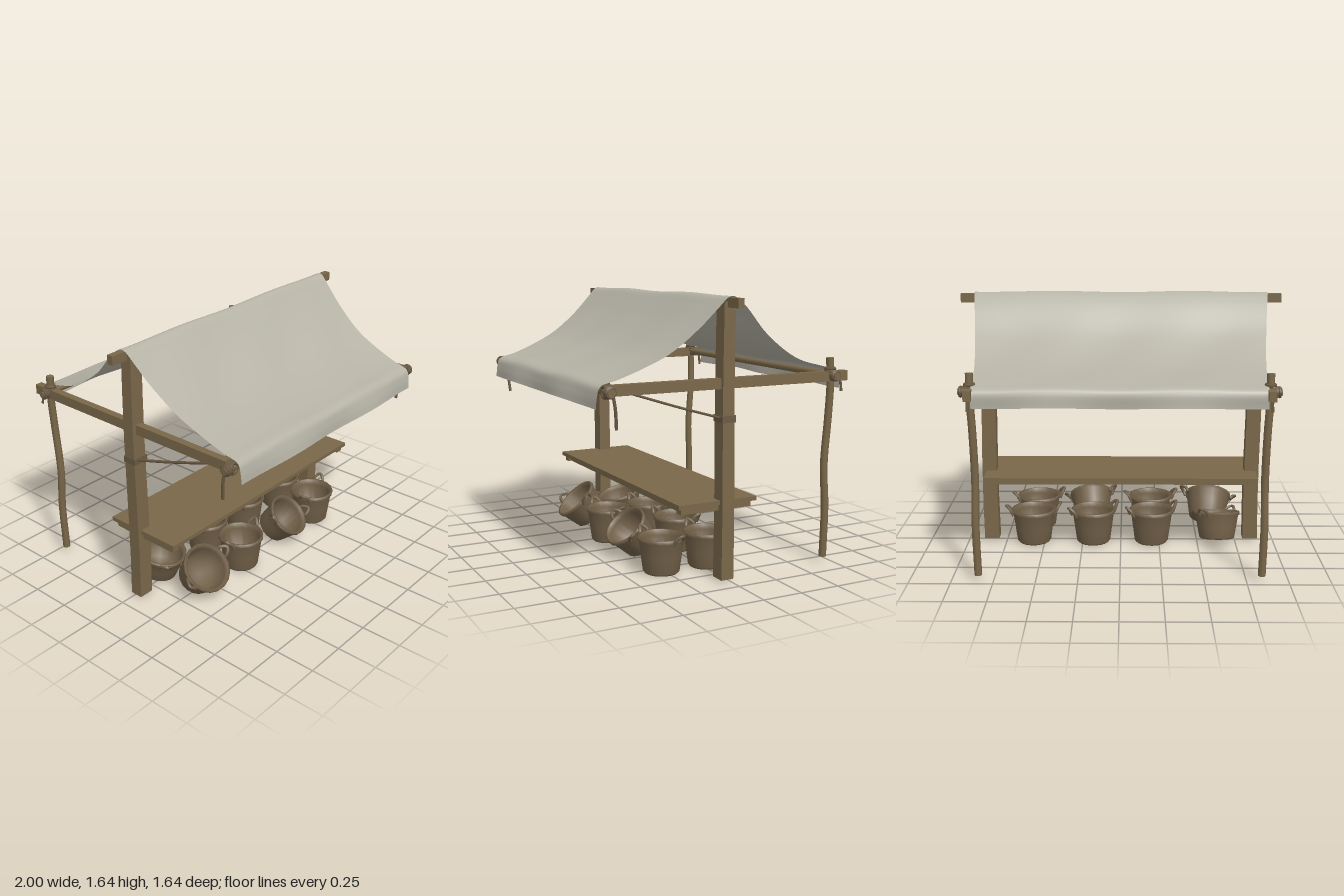
import * as THREE from 'three';

const mat = (name, color, side = THREE.FrontSide) => {
  const m = new THREE.MeshStandardMaterial({ color, side });
  m.name = name;
  return m;
};

export function createModel() {
  const wood = mat('wood', 0x796749);
  const wicker = mat('wicker', 0x716048);
  const rope = mat('rope', 0x6a5a43);
  const canvas = mat('canvas', 0xb5b2a5, THREE.DoubleSide);
  const stall = new THREE.Group();
  stall.name = 'marketStall';
  const v = (x, y, z) => new THREE.Vector3(x, y, z);

  const add = (parent, name, geo, material, x = 0, y = 0, z = 0) => {
    const m = new THREE.Mesh(geo, material);
    m.name = name;
    m.position.set(x, y, z);
    parent.add(m);
    return m;
  };
  const box = (name, w, h, d, x, y, z, parent = stall, material = wood) =>
    add(parent, name, new THREE.BoxGeometry(w, h, d), material, x, y, z);

  // Tube through points, with closed ends
  const rod = (parent, name, pts, r, material, sides = 8) => {
    const g = new THREE.Group();
    g.name = name;
    const curve = new THREE.CatmullRomCurve3(pts);
    add(g, name + 'Shaft', new THREE.TubeGeometry(curve, pts.length > 2 ? 20 : 1, r, sides), material);
    for (const t of [0, 1]) {
      const p = curve.getPoint(t);
      const cap = add(g, name + 'End', new THREE.CircleGeometry(r, sides), material, p.x, p.y, p.z);
      cap.quaternion.setFromUnitVectors(v(0, 0, 1), curve.getTangent(t).multiplyScalar(t ? 1 : -1));
    }
    parent.add(g);
    return g;
  };

  // Box with a narrower top and a slight bow, for hewn posts
  const hewn = (w, h, d, k) => {
    const g = new THREE.BoxGeometry(w, h, d, 1, 6, 1);
    const p = g.attributes.position;
    for (let i = 0; i < p.count; i++) {
      const t = p.getY(i) / h + 0.5;
      const s = 1 + (k - 1) * t;
      p.setXYZ(i, p.getX(i) * s + 0.004 * Math.sin(t * 7), p.getY(i), p.getZ(i) * s);
    }
    g.computeVertexNormals();
    return g;
  };

  // Rope lashing: a few turns around a joint
  const lashing = (x, y, z, r, axis, name) => {
    const g = new THREE.Group();
    g.name = name;
    for (let i = -1; i <= 1; i++) {
      const t = add(g, 'ropeTurn', new THREE.TorusGeometry(r, 0.01, 6, 14), rope);
      if (axis === 'x') { t.rotation.y = Math.PI / 2; t.position.x = i * 0.015; }
      else if (axis === 'y') { t.rotation.x = Math.PI / 2; t.position.y = i * 0.015; }
      else t.position.z = i * 0.015;
    }
    g.position.set(x, y, z);
    stall.add(g);
  };

  // Frame, mirrored on both sides
  for (const s of [-1, 1]) {
    add(stall, 'mainPost', hewn(0.095, 1.59, 0.08, 0.9), wood, s * 0.85, 0.805, 0.018);
    box('sideBeam', 0.045, 0.06, 1.56, s * 0.85, 1.145, -0.04);
    rod(stall, 'backPole', [
      v(s * 0.84, 0.035, -0.696), v(s * 0.845, 0.35, -0.699), v(s * 0.84, 0.6, -0.688),
      v(s * 0.842, 0.9, -0.708), v(s * 0.85, 1.1, -0.712), v(s * 0.85, 1.255, -0.704),
    ], 0.023, wood);
    rod(stall, 'braceRope', [v(s * 0.865, 1.12, 0.6), v(s * 0.87, 1.03, 0.32), v(s * 0.87, 0.95, 0.05)], 0.008, rope, 6);
    rod(stall, 'ropeEnd', [v(s * 0.87, 1.13, 0.72), v(s * 0.875, 1.05, 0.708), v(s * 0.865, 0.935, 0.697)], 0.009, rope, 6);
    rod(stall, 'ropeEnd', [v(s * 0.85, 1.15, -0.78), v(s * 0.855, 1.05, -0.79)], 0.008, rope, 6);
    for (const [y, z] of [[1.14, 0.745], [1.15, -0.715]]) {
      lashing(s * 0.885, y, z, 0.025, 'x', 'railLashing');
      lashing(s * 0.853, y, z, 0.031, 'z', 'beamLashing');
    }
    lashing(s * 0.85, 1.175, -0.708, 0.026, 'y', 'poleLashing');
    box('postBinding', 0.1, 0.04, 0.088, s * 0.85, 0.945, 0.018, stall, rope);
  }
  box('ridgeBeam', 2, 0.055, 0.04, 0, 1.595, 0.012);
  rod(stall, 'frontRail', [v(-0.915, 1.14, 0.745), v(0.915, 1.14, 0.745)], 0.023, wood);
  rod(stall, 'backRail', [v(-0.915, 1.15, -0.715), v(0.915, 1.15, -0.715)], 0.021, wood);

  // Canvas: swept profile (z, y), flaring toward the ridge, with gentle waves
  const profile = new THREE.CatmullRomCurve3([
    [0.81, 1.05], [0.8, 1.11], [0.775, 1.17], [0.67, 1.2], [0.53, 1.25], [0.38, 1.325], [0.2, 1.467],
    [0.09, 1.575], [0.038, 1.626], [0.012, 1.634], [-0.014, 1.626], [-0.085, 1.57], [-0.24, 1.407],
    [-0.46, 1.268], [-0.69, 1.2], [-0.785, 1.165], [-0.795, 1.07],
  ].map(([z, y]) => v(0, y, z)));
  const sheet = new THREE.PlaneGeometry(2, 1, 40, 80);
  const sp = sheet.attributes.position;
  for (let i = 0; i < sp.count; i++) {
    const u = sp.getX(i);
    const q = profile.getPoint(0.5 + sp.getY(i));
    const half = 0.835 + 0.08 * Math.pow(Math.max(0, 1 - Math.abs(q.z) / 0.8), 1.6);
    const wave = -Math.cos(u * 2.2 * Math.PI);
    const slack = Math.sin(Math.min(1, Math.abs(q.z) / 0.75) * Math.PI);
    const hem = Math.max(0, (1.16 - q.y) / 0.1);
    sp.setXYZ(i, u * half,
      q.y + 0.004 * wave * (1 - slack) - 0.01 * slack * (1 - u * u) + 0.005 * slack * Math.sin(u * 9 + q.z * 8),
      q.z + 0.009 * wave * hem * Math.sign(q.z));
  }
  sheet.computeVertexNormals();
  add(stall, 'canvasRoof', sheet, canvas);

  // Table: board, end battens and long under-rails
  const table = new THREE.Group();
  table.name = 'table';
  stall.add(table);
  box('tableTop', 1.74, 0.025, 0.51, 0, 0.463, 0.065, table);
  for (const s of [-1, 1]) {
    box('endBatten', 0.05, 0.035, 0.46, s * 0.83, 0.434, 0.07, table);
    box('underRail', 1.62, 0.03, 0.03, 0, 0.436, 0.07 + s * 0.2, table);
  }

  // Basket: thick-walled bucket with two rim handles
  const wall = new THREE.LatheGeometry([
    [0, 0], [0.1, 0], [0.11, 0.012], [0.122, 0.1], [0.134, 0.19], [0.144, 0.2], [0.143, 0.222],
    [0.128, 0.222], [0.12, 0.19], [0.098, 0.025], [0, 0.022],
  ].map(([x, y]) => new THREE.Vector2(x, y)), 18);
  const basket = (x, z, turn, { tilt = 0, roll = 0, width = 1, depth = 1 } = {}) => {
    const tip = new THREE.Group();
    tip.name = 'basket';
    const b = new THREE.Group();
    b.name = 'basketBody';
    add(b, 'basketWall', wall, wicker);
    for (const s of [-1, 1]) {
      rod(b, 'basketHandle', [
        v(s * 0.137, 0.19, -0.035), v(s * 0.155, 0.228, -0.028), v(s * 0.178, 0.25, 0),
        v(s * 0.155, 0.228, 0.028), v(s * 0.137, 0.19, 0.035),
      ], 0.01, wicker, 6);
    }
    b.rotation.y = turn;
    b.scale.set(width, depth, width);
    b.position.y = -0.11 * depth;
    tip.add(b);
    tip.rotation.set(tilt, 0, roll);
    // Lift so that the lowest edge rests on the ground
    tip.position.set(x, 0.11 * depth * Math.cos(tilt) + 0.1 * width * Math.sin(tilt), z);
    stall.add(tip);
  };
  basket(-0.59, 0.28, 0.2, { tilt: 0.75, roll: 0.1, width: 1.08, depth: 0.78 });
  basket(-0.2, 0.27, 0.15);
  basket(0.2, 0.28, -0.2, { tilt: 0.75, roll: -0.1, depth: 0.85 });
  basket(0.56, 0.27, 0.3);
  basket(-0.63, -0.03, 0.9, { tilt: 0.25, width: 1.05, depth: 0.8 });
  basket(-0.2, -0.03, 0.4);
  basket(0.18, -0.03, 0.5);
  basket(0.57, -0.03, 0.2);

  return stall;
}
